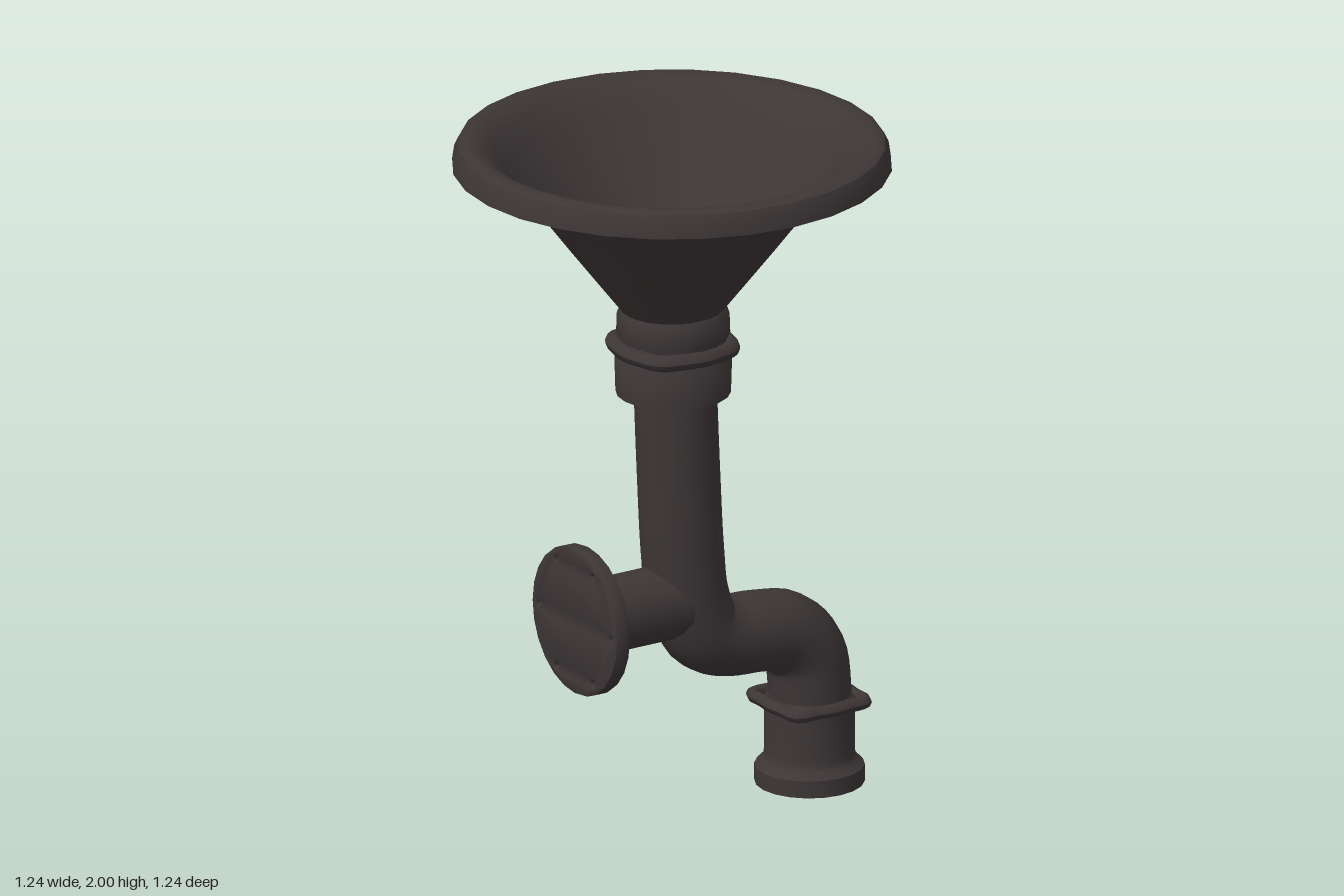
import * as THREE from 'three';
import { toCreasedNormals } from 'three/addons/utils/BufferGeometryUtils.js';

const iron = new THREE.MeshStandardMaterial({ color: 0x3d3637, side: THREE.DoubleSide });
iron.name = 'dark iron';

export function createModel() {
  const group = new THREE.Group();

  function add(name, geometry, x = 0, y = 0, z = 0) {
    const mesh = new THREE.Mesh(geometry, iron);
    mesh.name = name;
    mesh.position.set(x, y, z);
    group.add(mesh);
    return mesh;
  }

  // Turned part from [radius, height] pairs
  function turned(name, profile, x, segments = 20) {
    const points = profile.map(([r, y]) => new THREE.Vector2(r, y));
    return add(name, toCreasedNormals(new THREE.LatheGeometry(points, segments), 0.7), x);
  }

  // Clamp ring pulled out into four small ears on the diagonals
  function clampRing(name, radius, tube, ear, x, y) {
    const g = new THREE.TorusGeometry(radius, tube, 8, 40);
    g.rotateX(Math.PI / 2);
    const p = g.attributes.position;
    for (let i = 0; i < p.count; i++) {
      const px = p.getX(i), pz = p.getZ(i), r = Math.hypot(px, pz);
      const k = 1 + ear * Math.pow(Math.sin(2 * Math.atan2(pz, px)), 6) / r;
      p.setX(i, px * k);
      p.setZ(i, pz * k);
    }
    g.computeVertexNormals();
    add(name, g, x, y, 0);
  }

  // Funnel: thin cone with a rolled, downturned lip, closed at the bottom
  turned('funnel', [
    [0.001, 1.5], [0.145, 1.5], [0.3, 1.7], [0.47, 1.925], [0.505, 1.965], [0.54, 1.99],
    [0.575, 2], [0.6, 1.99], [0.612, 1.965], [0.618, 1.925],
  ], 0, 28);

  // Collar joining the funnel to the pipe
  turned('funnelCollar', [
    [0.1, 1.25], [0.162, 1.25], [0.165, 1.35], [0.152, 1.37], [0.152, 1.41],
    [0.16, 1.43], [0.158, 1.485], [0.145, 1.505], [0.1, 1.505],
  ], 0.004);
  clampRing('funnelClampRing', 0.15, 0.025, 0.018, 0.002, 1.39);

  // Main pipe: slightly leaning drop, then an S-bend to the outlet
  const path = new THREE.CatmullRomCurve3([
    [0.01, 1.28], [0.022, 1.0], [0.035, 0.77], [0.052, 0.63], [0.1, 0.525], [0.18, 0.488],
    [0.28, 0.48], [0.375, 0.46], [0.443, 0.39], [0.462, 0.28], [0.462, 0.16],
  ].map(([x, y]) => new THREE.Vector3(x, y, 0)));
  add('mainPipe', new THREE.TubeGeometry(path, 60, 0.117, 18));

  // Open outlet with flared foot
  turned('outlet', [
    [0.116, 0.26], [0.116, 0.08], [0.132, 0.04], [0.135, 0], [0.155, 0], [0.155, 0.05],
    [0.143, 0.062], [0.13, 0.075], [0.127, 0.1], [0.127, 0.25], [0.116, 0.26],
  ], 0.462);
  clampRing('outletClampRing', 0.125, 0.02, 0.035, 0.46, 0.245);

  // Side stub running to the mounting flange
  const stub = new THREE.CylinderGeometry(0.108, 0.108, 0.34, 18, 1, true);
  stub.rotateZ(Math.PI / 2);
  add('sidePipe', stub, -0.12, 0.627, 0);

  // Round flange with six bolt holes
  const disc = new THREE.Shape();
  disc.absarc(0, 0, 0.208, 0, Math.PI * 2);
  for (let i = 0; i < 6; i++) {
    const a = i * Math.PI / 3;
    const hole = new THREE.Path();
    hole.absarc(0.183 * Math.cos(a), 0.183 * Math.sin(a), 0.016, 0, Math.PI * 2, true);
    disc.holes.push(hole);
  }
  const flange = new THREE.ExtrudeGeometry(disc, {
    depth: 0.03, bevelEnabled: true, bevelSize: 0.008, bevelThickness: 0.009,
    bevelSegments: 2, curveSegments: 12,
  });
  flange.rotateY(Math.PI / 2);
  add('mountingFlange', toCreasedNormals(flange, 0.6), -0.32, 0.63, 0);

  return group;
}
